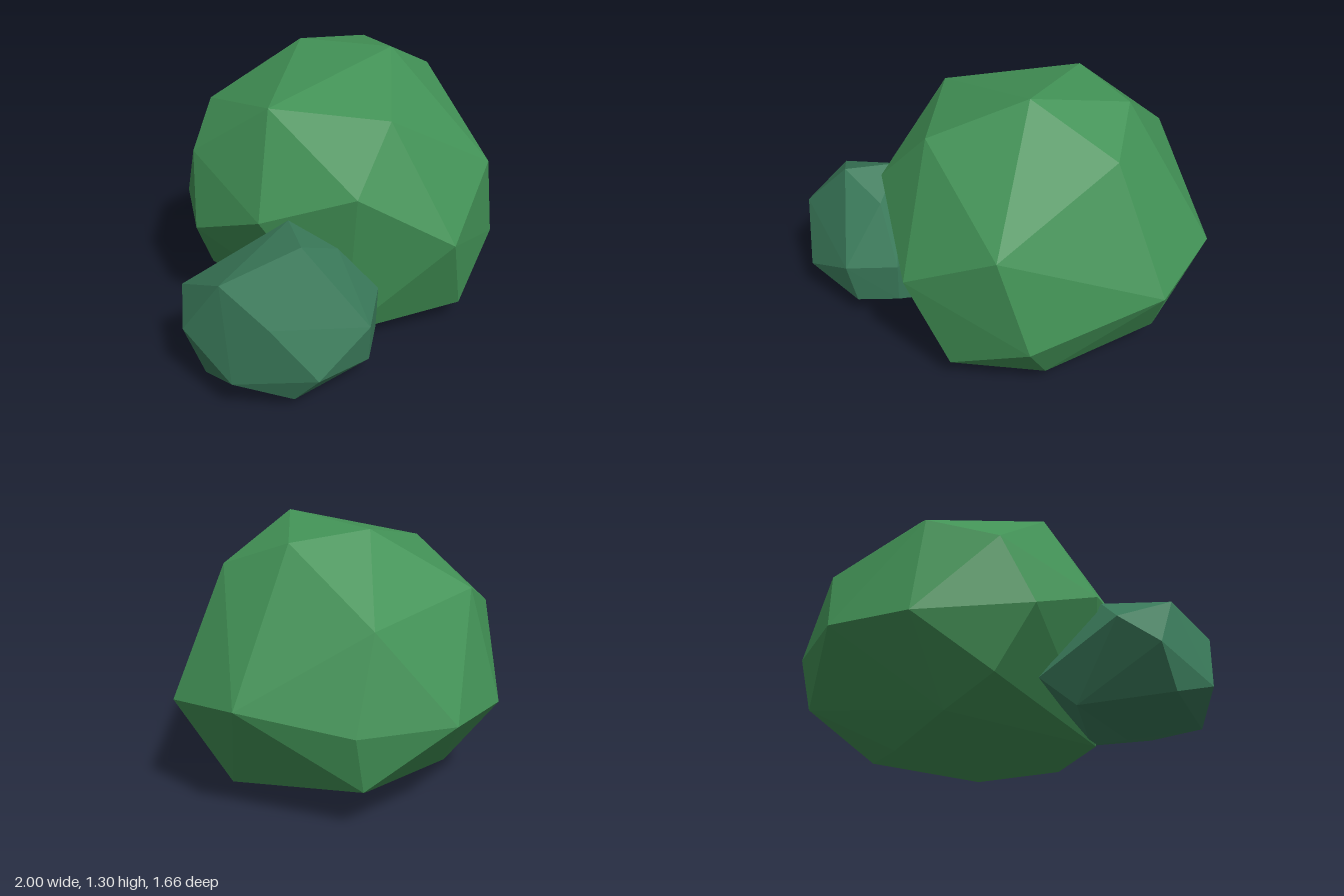
import * as THREE from 'three';
import { ConvexGeometry } from 'three/addons/geometries/ConvexGeometry.js';

const leafGreen = new THREE.MeshStandardMaterial({ color: 0x429256 });
leafGreen.name = 'leaf green';
const blueGreen = new THREE.MeshStandardMaterial({ color: 0x3a7a5a });
blueGreen.name = 'blue green';

// Faceted clump: the hull around rings of corner points, flat shaded by its face normals
function clump(name, rings, material) {
  const corners = rings.flat().map((p) => new THREE.Vector3(...p));
  const mesh = new THREE.Mesh(new ConvexGeometry(corners), material);
  mesh.name = name;
  return mesh;
}

export function createModel() {
  const group = new THREE.Group();
  group.name = 'bush';

  group.add(clump('largeClump', [
    // base
    [[0.23, 0, -0.35], [-0.21, 0.07, -0.39], [-0.28, 0.06, 0.48], [0.26, 0.1, 0.74],
      [0.61, 0.07, 0.46], [0.82, 0.12, -0.1], [0.49, 0.2, -0.68], [-0.45, 0.2, -0.3]],
    // widest ring
    [[0.07, 0.53, 0.83], [0.66, 0.31, 0.63], [1, 0.5, 0.11], [0.93, 0.56, -0.34],
      [0.55, 0.47, -0.71], [0.09, 0.46, -0.83], [-0.31, 0.44, -0.66], [-0.62, 0.5, -0.2],
      [-0.59, 0.67, 0.22]],
    // shoulder
    [[-0.33, 0.82, 0.58], [0.51, 0.77, 0.68], [0.41, 0.9, -0.65], [-0.23, 0.98, -0.53],
      [-0.52, 0.84, -0.32]],
    // crown
    [[-0.39, 1.13, 0.08], [-0.06, 1.1, 0.53], [0.29, 1.3, 0.22], [0.71, 1.1, 0.12],
      [0.54, 1.22, -0.18], [0.17, 1.26, -0.28]],
  ], leafGreen));

  group.add(clump('smallClump', [
    // base
    [[-0.55, 0.01, 0.41], [-0.79, 0.05, 0.65], [-0.97, 0.09, 0.27], [-0.62, 0.07, 0.02],
      [-0.41, 0.11, 0.74], [-0.23, 0.08, 0.5]],
    // middle
    [[-0.75, 0.18, 0.76], [-1, 0.155, 0.485], [-1, 0.28, 0.16], [-0.885, 0.4, 0.02],
      [-0.48, 0.22, -0.07], [-0.44, 0.31, 0.77], [-0.22, 0.345, 0.62], [-0.23, 0.14, 0.62]],
    // crown
    [[-0.905, 0.45, 0.625], [-0.93, 0.55, 0.34], [-0.65, 0.71, 0.555], [-0.51, 0.7, 0.33],
      [-0.41, 0.6, 0.54]],
  ], blueGreen));

  return group;
}
